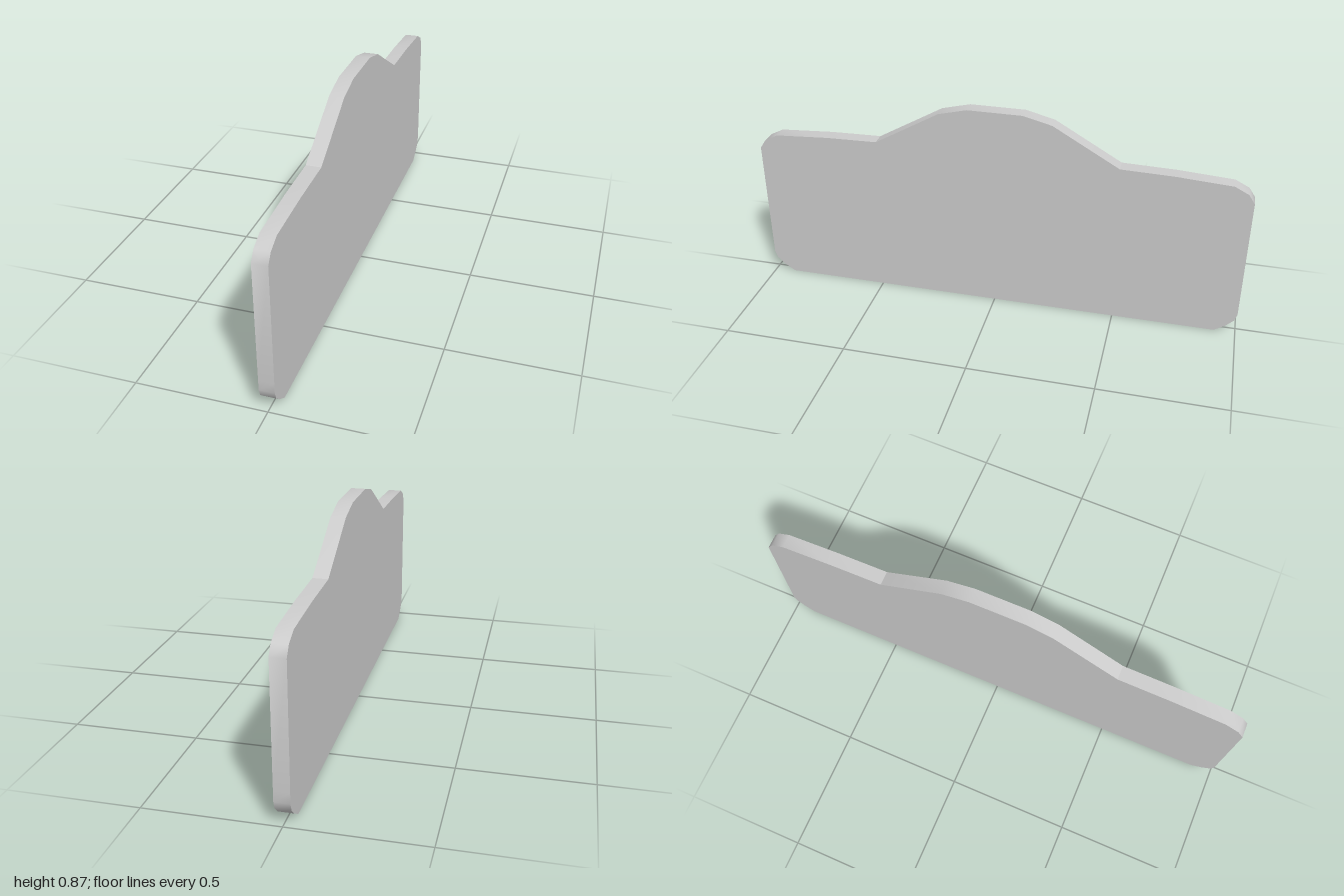
import * as THREE from 'three';
import { toCreasedNormals } from 'three/addons/utils/BufferGeometryUtils.js';

const THICKNESS = 0.058;

// Flat slab standing in the z-y plane, from an outline of [z, y] points
function slab(name, outline, material) {
  const shape = new THREE.Shape(outline.map(([z, y]) => new THREE.Vector2(z, y)));
  const extruded = new THREE.ExtrudeGeometry(shape, { depth: THICKNESS, bevelEnabled: false });
  extruded.rotateY(-Math.PI / 2).translate(THICKNESS / 2, 0, 0);
  const mesh = new THREE.Mesh(toCreasedNormals(extruded, 0.8), material);
  mesh.name = name;
  return mesh;
}

// Completes a half outline (listed bottom to top) with its mirror image
const mirrored = (half) => [...half, ...half.slice().reverse().map(([z, y]) => [-z, y])];

export function createModel() {
  const group = new THREE.Group();
  group.name = 'crestedPlate';
  const material = new THREE.MeshStandardMaterial({ color: 0xcccccc });

  // Bottom strip with rounded lower corners
  group.add(slab('bottomRail', mirrored([
    [0.915, 0], [0.96, 0.03], [0.99, 0.06], [1, 0.09], [1, 0.13],
  ]), material));

  // Main panel with rounded shoulders and a gently rising top edge
  group.add(slab('mainPanel', mirrored([
    [1, 0.13], [1, 0.6], [0.975, 0.637], [0.92, 0.665], [0.7, 0.679], [0.49, 0.684],
  ]), material));

  // Raised crest in the middle of the top edge
  group.add(slab('crest', mirrored([
    [0.49, 0.684], [0.225, 0.836], [0.11, 0.865],
  ]), material));

  return group;
}
